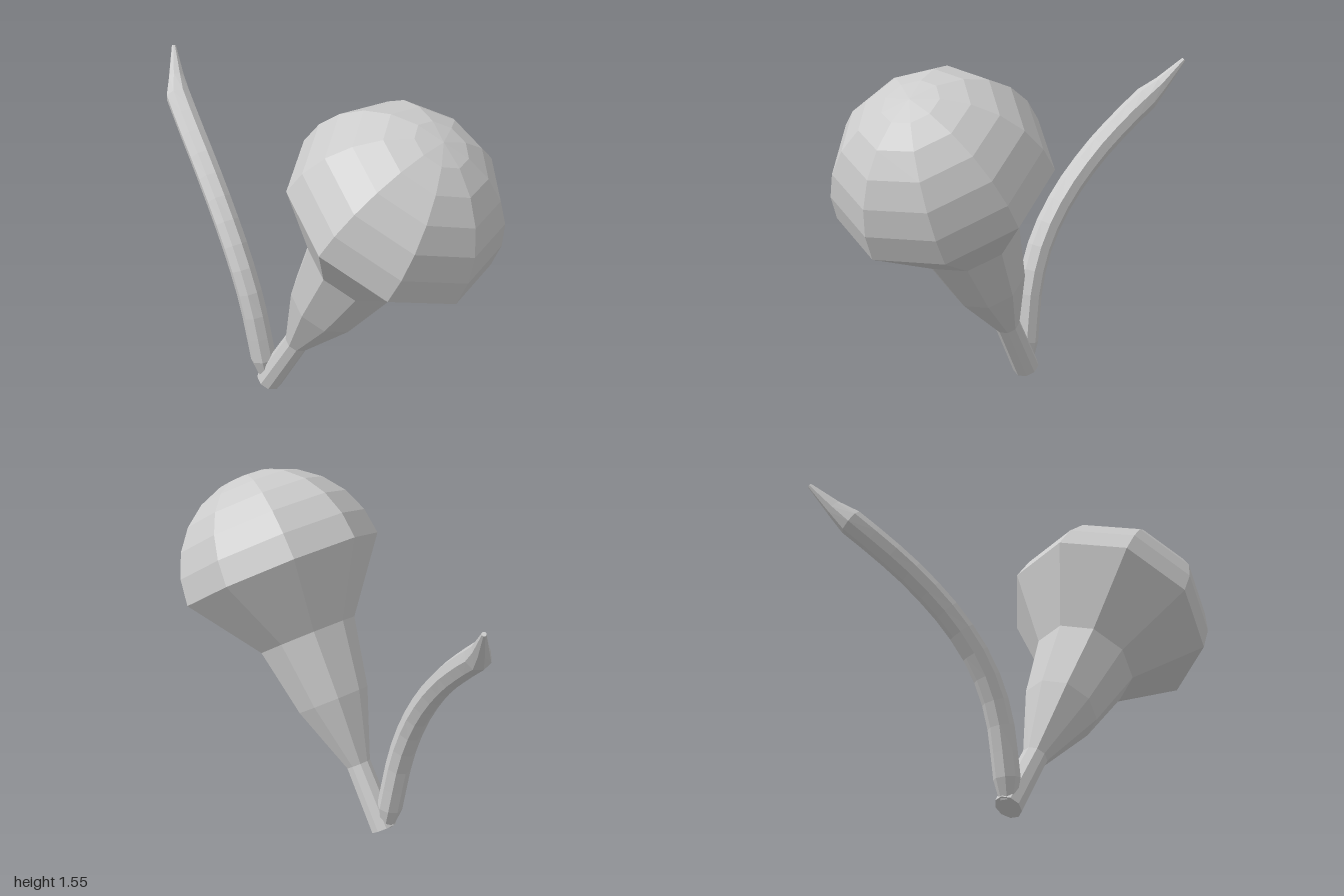
import * as THREE from 'three';

const V = (x, y, z) => new THREE.Vector3(x, y, z);

// Skins a row of regular polygon rings; a zero radius closes the end in a point.
function loft(name, centres, radii, ref, sides, material) {
  const pos = [], index = [], last = centres.length - 1;
  centres.forEach((c, i) => {
    const t = centres[Math.min(i + 1, last)].clone().sub(centres[Math.max(i - 1, 0)]).normalize();
    const n = ref.clone().addScaledVector(t, -ref.dot(t)).normalize();
    const b = t.clone().cross(n);
    for (let j = 0; j < sides; j++) {
      const a = (j / sides) * Math.PI * 2;
      const p = c.clone()
        .addScaledVector(n, radii[i] * Math.cos(a))
        .addScaledVector(b, radii[i] * Math.sin(a));
      pos.push(p.x, p.y, p.z);
    }
  });
  for (let i = 0; i < last; i++) {
    for (let j = 0; j < sides; j++) {
      const k = (j + 1) % sides;
      const a = i * sides + j, b = i * sides + k, c = a + sides, d = b + sides;
      if (radii[i] > 0) index.push(a, b, c);
      if (radii[i + 1] > 0) index.push(b, d, c);
    }
  }
  const g = new THREE.BufferGeometry();
  g.setAttribute('position', new THREE.Float32BufferAttribute(pos, 3));
  g.setIndex(index);
  g.computeVertexNormals();
  const mesh = new THREE.Mesh(g, material);
  mesh.name = name;
  return mesh;
}

export function createModel() {
  const group = new THREE.Group();
  group.name = 'buddingPlant';
  const grey = new THREE.MeshStandardMaterial({ color: 0xcccccc, flatShading: true, side: THREE.DoubleSide });

  // Leaning axis shared by the stem and the dome
  const base = V(-0.106, 0.036, 0.108), rim = V(0.533, 1.1, 0);
  const axis = rim.clone().sub(base);
  const length = axis.length();
  axis.normalize();
  const along = d => base.clone().addScaledVector(axis, d);

  // Flaring stem, closed at its foot
  const stemRadii = [0, 0.06, 0.056, 0.168, 0.229, 0.465];
  const stemCentres = stemRadii.map((r, i) => along(length * Math.max(0, i - 1) / 4));
  group.add(loft('stem', stemCentres, stemRadii, V(1, 0, 0), 9, grey));

  // Faceted dome on the rim
  const domeCentres = [], domeRadii = [];
  for (let i = 0; i <= 6; i++) {
    const a = (i / 6) * Math.PI / 2;
    domeCentres.push(along(length + 0.46 * Math.sin(a)));
    domeRadii.push(i === 6 ? 0 : 0.465 * Math.cos(a));
  }
  group.add(loft('dome', domeCentres, domeRadii, V(1, 0, 0), 9, grey));

  // Curved shoot with a narrow foot and a pointed tip
  const path = new THREE.CatmullRomCurve3([
    V(-0.125, 0.15, 0.125), V(-0.18, 0.415, 0.14), V(-0.26, 0.6, 0.14), V(-0.385, 0.775, 0.122),
    V(-0.55, 0.94, 0.085), V(-0.7, 1.06, 0.045), V(-0.845, 1.165, 0.0),
  ]);
  const body = path.getSpacedPoints(12);
  const foot = V(-0.112, 0.06, 0.115), tip = V(-0.993, 1.335, -0.1);
  const shootCentres = [foot, foot, ...body, V(-0.905, 1.228, -0.04), tip, tip];
  const shootRadii = [0, 0.035, ...body.map(() => 0.057), 0.036, 0.01, 0];
  group.add(loft('shoot', shootCentres, shootRadii, V(0, 0, 1), 8, grey));

  return group;
}
